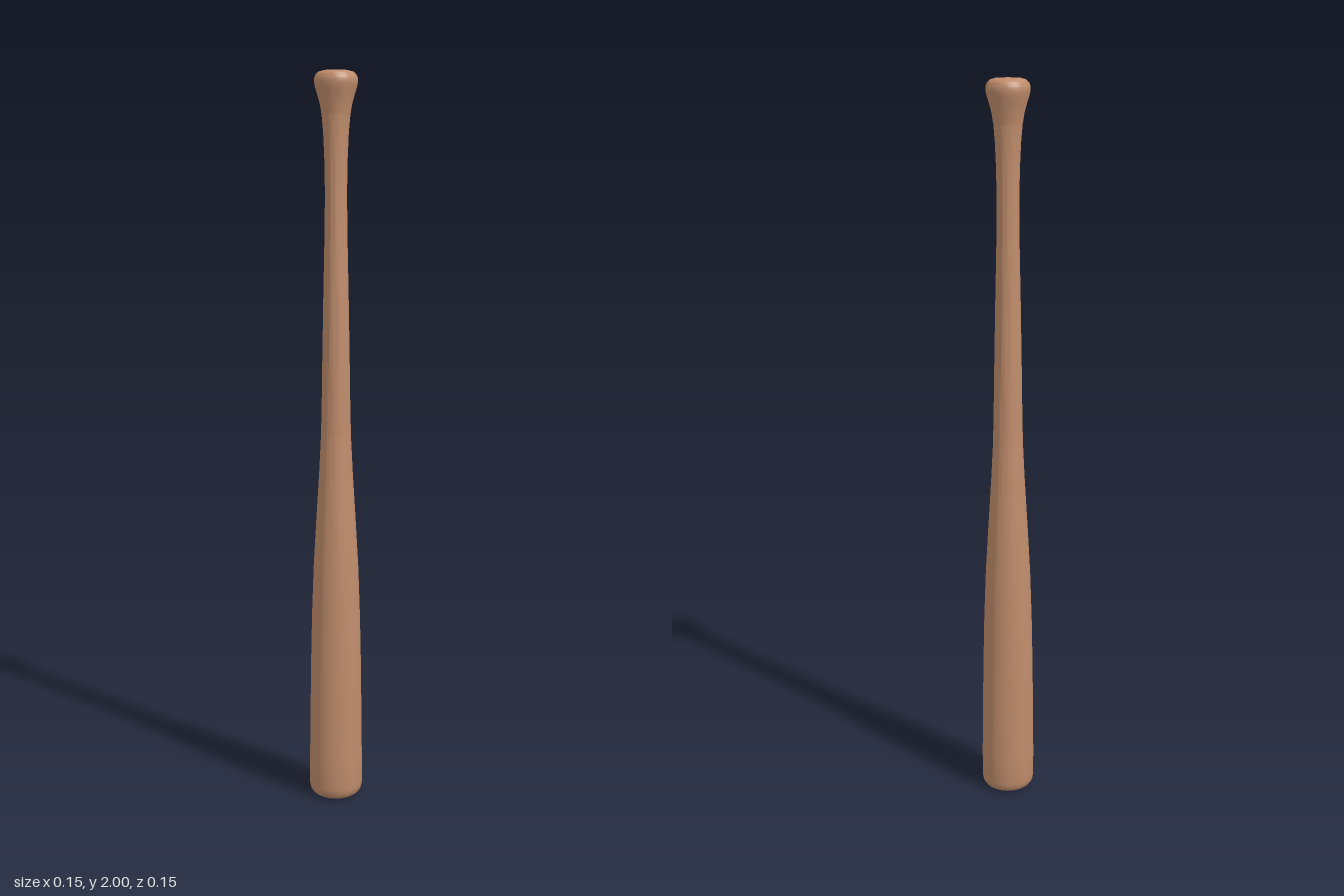
import * as THREE from 'three';
import { toCreasedNormals } from 'three/addons/utils/BufferGeometryUtils.js';

export function createModel() {
  const group = new THREE.Group();
  const wood = new THREE.MeshStandardMaterial({ color: 0xbf8c6b });
  wood.name = 'wood';

  // Turned part from [radius, height] pairs, listed from bottom to top
  const turn = (name, profile) => {
    const points = profile.map(([r, y]) => new THREE.Vector2(r, y));
    const geometry = toCreasedNormals(new THREE.LatheGeometry(points, 48), 0.6);
    const mesh = new THREE.Mesh(geometry, wood);
    mesh.name = name;
    group.add(mesh);
  };

  // Thick hitting end with a rounded rim
  turn('barrel', [
    [0, 0], [0.055, 0], [0.064, 0.006], [0.071, 0.016], [0.0735, 0.03],
    [0.0735, 0.11], [0.072, 0.22], [0.0705, 0.36], [0.067, 0.52],
    [0.062, 0.66], [0.054, 0.8], [0.046, 0.93], [0.041, 1.03],
  ]);

  // Slim grip
  turn('handle', [
    [0.041, 1.03], [0.039, 1.12], [0.037, 1.25], [0.034, 1.42],
    [0.031, 1.56], [0.0295, 1.68], [0.031, 1.77], [0.034, 1.84], [0.038, 1.885],
  ]);

  // Flared knob with a flat cap
  turn('knob', [
    [0.038, 1.885], [0.043, 1.915], [0.05, 1.94], [0.055, 1.956], [0.0575, 1.968],
    [0.0575, 1.98], [0.055, 1.988], [0.047, 1.996], [0.034, 2], [0, 2],
  ]);

  return group;
}
